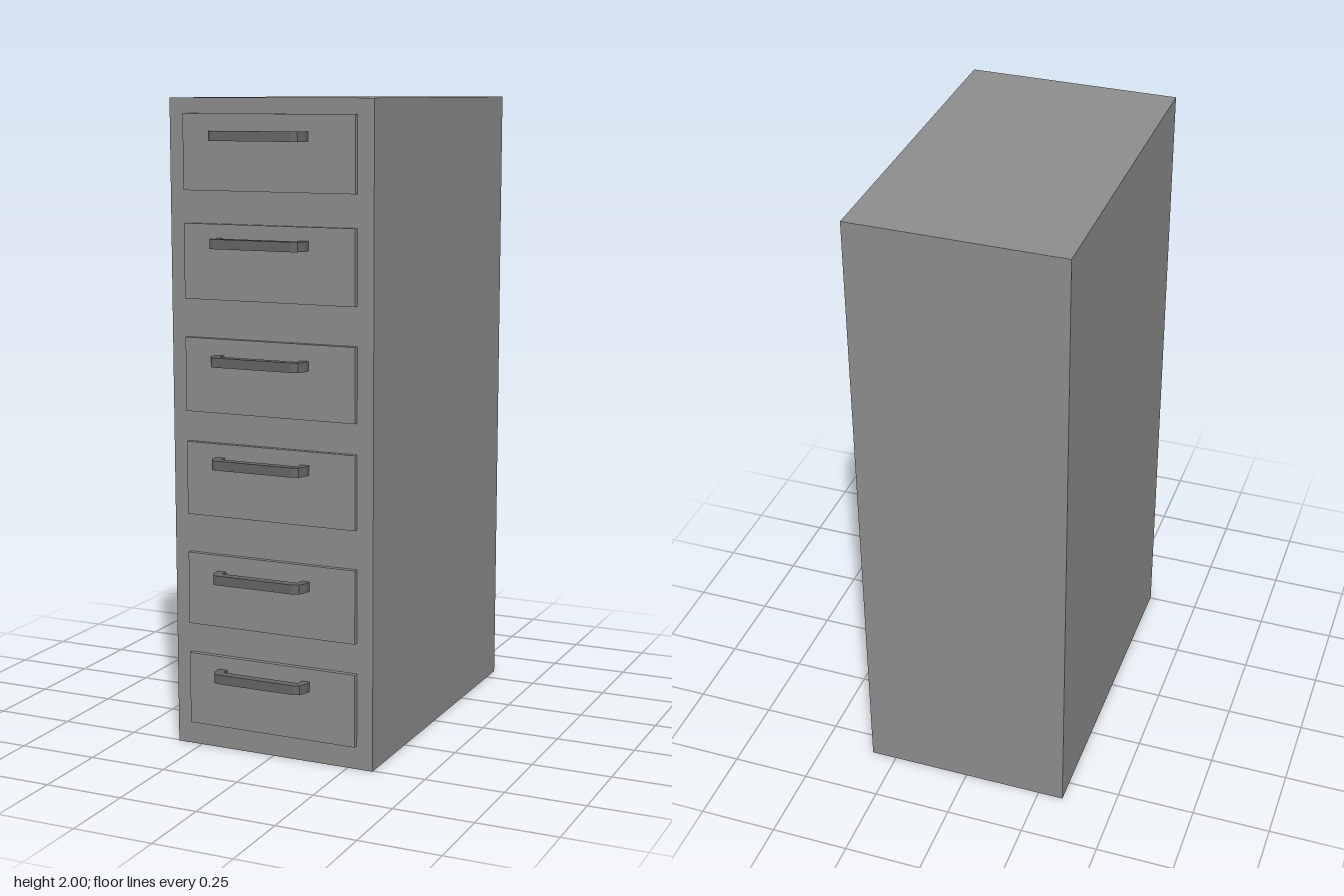
import * as THREE from 'three';

const bodyMaterial = new THREE.MeshStandardMaterial({ color: 0x8e8e8e, flatShading: true });
const handleMaterial = new THREE.MeshStandardMaterial({ color: 0x666666, flatShading: true });

const BACK = -0.575, BODY_FRONT = 0.505, PANEL_FRONT = 0.521;
const HANDLE_HEIGHT = 0.029;

// Bracket-shaped pull with chamfered outer corners, drawn in plan (x, z)
function handleGeometry() {
  const plan = [
    [-0.178, 0.515], [-0.15, 0.515], [-0.15, 0.546], [0.105, 0.546], [0.105, 0.515], [0.131, 0.515],
    [0.131, 0.543], [0.119, 0.567], [0.1, 0.575], [-0.158, 0.575], [-0.168, 0.57], [-0.178, 0.552],
  ];
  const shape = new THREE.Shape(plan.map(([x, z]) => new THREE.Vector2(x, z)));
  const geometry = new THREE.ExtrudeGeometry(shape, { depth: HANDLE_HEIGHT, bevelEnabled: false });
  return geometry.rotateX(Math.PI / 2).translate(0, HANDLE_HEIGHT / 2, 0);
}

export function createModel() {
  const model = new THREE.Group();
  model.name = 'drawerCabinet';

  const add = (parent, name, geometry, material, y, z) => {
    const mesh = new THREE.Mesh(geometry, material);
    mesh.name = name;
    mesh.position.set(0, y, z);
    parent.add(mesh);
  };

  // Cabinet body
  const depth = BODY_FRONT - BACK;
  add(model, 'cabinetBody', new THREE.BoxGeometry(0.664, 2, depth), bodyMaterial, 1, BACK + depth / 2);

  // Drawers, bottom to top: [panel centre height, handle height]
  const drawers = [
    [0.186, 0.244], [0.507, 0.556], [0.854, 0.911],
    [1.174, 1.223], [1.517, 1.575], [1.841, 1.89],
  ];
  const panel = new THREE.BoxGeometry(0.56, 0.226, PANEL_FRONT - BODY_FRONT + 0.01);
  const handle = handleGeometry();
  drawers.forEach(([panelY, handleY], i) => {
    const drawer = new THREE.Group();
    drawer.name = `drawer${i + 1}`;
    add(drawer, 'drawerFront', panel, bodyMaterial, panelY, (PANEL_FRONT + BODY_FRONT - 0.01) / 2);
    add(drawer, 'drawerHandle', handle, handleMaterial, handleY, 0);
    model.add(drawer);
  });

  return model;
}
